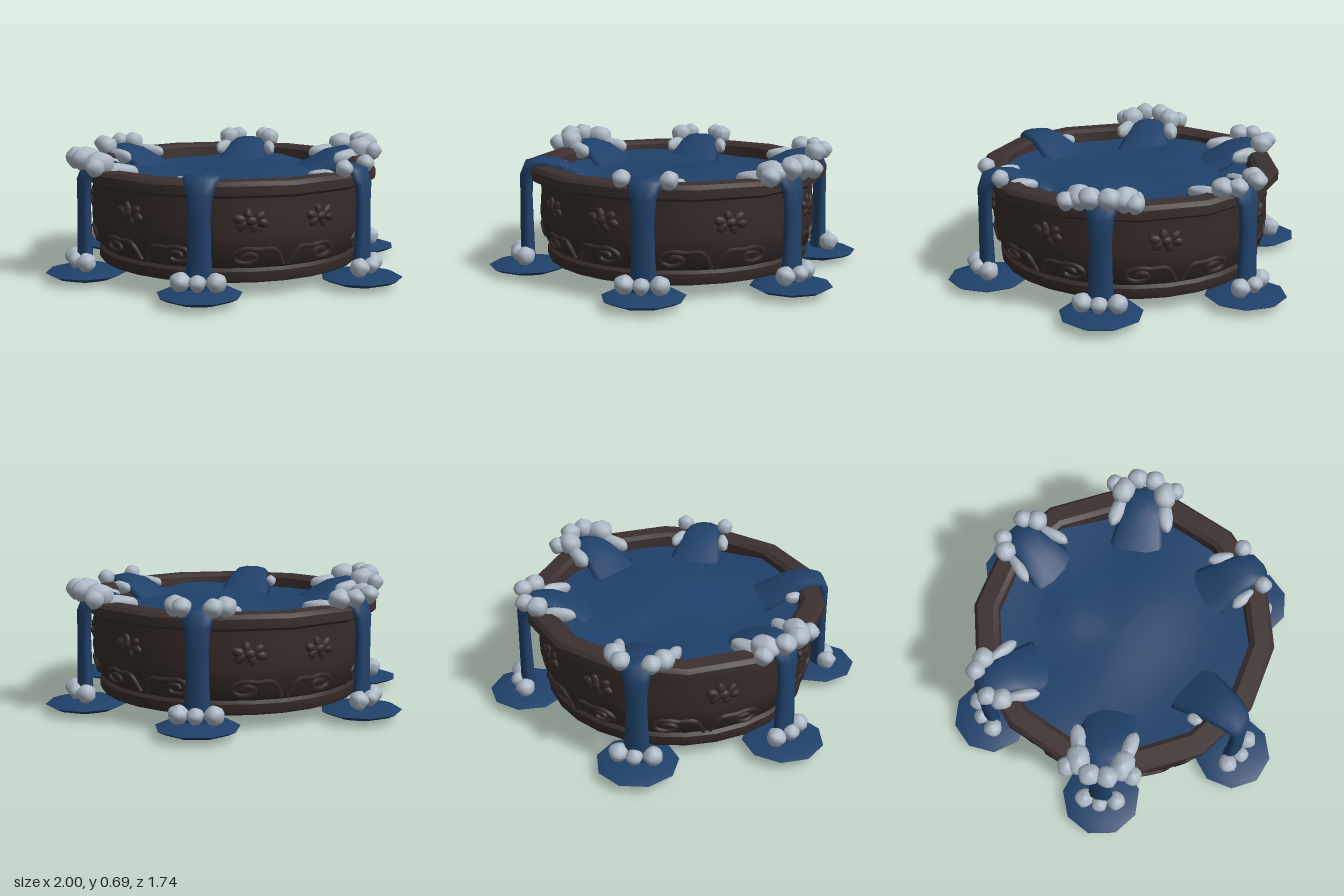
import * as THREE from 'three';
import { toCreasedNormals } from 'three/addons/utils/BufferGeometryUtils.js';

const mat = (name, color) => {
  const m = new THREE.MeshStandardMaterial({ color });
  m.name = name;
  return m;
};
const rimWood = mat('rim brown', 0x3b302f);
const wallWood = mat('wall brown', 0x362b29);
const water = mat('water blue', 0x20416a);
const foam = mat('foam white', 0xaab6c2);

function add(parent, name, geometry, material) {
  const mesh = new THREE.Mesh(geometry, material);
  mesh.name = name;
  parent.add(mesh);
  return mesh;
}

const lathe = (points, sides) => toCreasedNormals(
  new THREE.LatheGeometry(points.map(([r, y]) => new THREE.Vector2(r, y)), sides), 0.6);

// Lumpy ball shared by all foam
function lumpGeometry() {
  const g = new THREE.SphereGeometry(1, 14, 10);
  const p = g.attributes.position;
  const v = new THREE.Vector3();
  for (let i = 0; i < p.count; i++) {
    v.fromBufferAttribute(p, i);
    v.multiplyScalar(1 + 0.07 * Math.sin(4 * v.x + 1) * Math.cos(3 * v.z) + 0.05 * Math.sin(5 * v.y + 2 * v.x));
    p.setXYZ(i, v.x, v.y, v.z);
  }
  g.computeVertexNormals();
  return g;
}
const lump = lumpGeometry();

function blob(parent, name, [x, y, z, sx, sy, sz], turn = 0) {
  const b = add(parent, name, lump, foam);
  b.position.set(x, y, z);
  b.scale.set(sx, sy, sz);
  b.rotation.y = turn;
}

// Stream swept over the rim: each step is radius, height, half width, half thickness
function streamGeometry() {
  const steps = [
    [0.46, 0.49, 0.15, 0.03], [0.56, 0.535, 0.13, 0.035], [0.64, 0.575, 0.11, 0.035],
    [0.72, 0.59, 0.095, 0.03], [0.775, 0.575, 0.08, 0.035], [0.797, 0.52, 0.065, 0.035],
    [0.8, 0.42, 0.055, 0.032], [0.8, 0.25, 0.058, 0.035], [0.8, 0.12, 0.066, 0.038], [0.8, 0.04, 0.075, 0.045]];
  const n = 10, pos = [], idx = [];
  steps.forEach(([x, y, w, t], i) => {
    const a = steps[Math.max(i - 1, 0)], b = steps[Math.min(i + 1, steps.length - 1)];
    const len = Math.hypot(b[0] - a[0], b[1] - a[1]);
    const tx = (b[0] - a[0]) / len, ty = (b[1] - a[1]) / len;
    for (let j = 0; j < n; j++) {
      const q = j / n * Math.PI * 2;
      const s = t * Math.sin(q);
      pos.push(x - ty * s, y + tx * s, w * Math.cos(q));
      if (i < steps.length - 1) {
        const k = i * n + j, l = i * n + (j + 1) % n;
        idx.push(k, k + n, l, l, k + n, l + n);
      }
    }
  });
  const g = new THREE.BufferGeometry();
  g.setAttribute('position', new THREE.Float32BufferAttribute(pos, 3));
  g.setIndex(idx);
  g.computeVertexNormals();
  return g;
}

// Rippled water filling the basin
function surfaceGeometry() {
  const g = new THREE.RingGeometry(0.001, 0.665, 28, 9);
  g.rotateX(-Math.PI / 2);
  const p = g.attributes.position;
  for (let i = 0; i < p.count; i++) {
    const x = p.getX(i), z = p.getZ(i);
    const hump = 0.04 * Math.exp(-((x - 0.05) ** 2 + (z + 0.3) ** 2) / 0.02);
    p.setY(i, 0.515 + 0.014 * Math.sin(7 * x + 3 * z) + 0.012 * Math.cos(8 * z - 4 * x) + hump);
  }
  g.computeVertexNormals();
  return g;
}

// Carved scroll wrapped round the wall
function scrollGeometry(dir) {
  const pts = [];
  const place = (u, y) => {
    const r = 0.69 + (y - 0.15) * 0.28;
    pts.push(new THREE.Vector3(Math.cos(u) * r, y, Math.sin(u) * r));
  };
  place(dir * -0.24, 0.16);
  place(dir * -0.17, 0.24);
  for (let i = 0; i < 15; i++) {
    const q = 2.2 - i * 0.6, r = 0.055 * (1 - i / 18);
    place(dir * (0.02 + 2.2 * r * Math.cos(q)), 0.205 + 0.85 * r * Math.sin(q));
  }
  return new THREE.TubeGeometry(new THREE.CatmullRomCurve3(pts), 50, 0.013, 5);
}

// Carved leafy rosette on the wall
function addRosette(parent, angle) {
  const g = new THREE.Group();
  g.name = 'rosette';
  g.rotation.y = -angle;
  const ball = new THREE.SphereGeometry(1, 10, 7);
  for (let i = 0; i < 6; i++) {
    const q = i / 6 * Math.PI * 2 + 0.3;
    const leaf = add(g, 'leaf', ball, wallWood);
    leaf.position.set(0.716, 0.385 + 0.027 * Math.sin(q), 0.055 * Math.cos(q));
    leaf.scale.set(0.02, 0.024, 0.038);
    leaf.rotation.x = -q;
  }
  const heart = add(g, 'heart', ball, wallWood);
  heart.position.set(0.72, 0.385, 0);
  heart.scale.set(0.022, 0.025, 0.035);
  parent.add(g);
}

// Foam beside an outlet: radius, height, sideways, and three half sizes
const bigFoam = [[0.66, 0.57, 0.125, 0.11, 0.045, 0.042], [0.75, 0.615, 0.11, 0.08, 0.06, 0.06],
  [0.82, 0.635, 0.045, 0.055, 0.052, 0.055], [0.79, 0.605, 0.165, 0.05, 0.045, 0.045]];
const mediumFoam = [[0.63, 0.565, 0.13, 0.1, 0.04, 0.032], [0.73, 0.615, 0.12, 0.058, 0.052, 0.055],
  [0.79, 0.62, 0.075, 0.05, 0.045, 0.048]];
const smallFoam = [[0.64, 0.56, 0.125, 0.085, 0.035, 0.032], [0.75, 0.605, 0.115, 0.045, 0.045, 0.045]];
const patchFoam = [[0.61, 0.55, 0.13, 0.05, 0.03, 0.03]];

export function createModel() {
  const model = new THREE.Group();
  model.name = 'overflowing basin';

  // Basin
  add(model, 'wall', lathe([[0, 0.075], [0.685, 0.075], [0.692, 0.09], [0.692, 0.13], [0.675, 0.145],
    [0.695, 0.165], [0.722, 0.27], [0.728, 0.31], [0.72, 0.42], [0.72, 0.51]], 28), wallWood);
  add(model, 'rim', lathe([[0.69, 0.5], [0.765, 0.5], [0.785, 0.515], [0.787, 0.56], [0.768, 0.58],
    [0.685, 0.582], [0.66, 0.565], [0.65, 0.43]], 14), rimWood);
  for (let i = 0; i < 12; i++) {
    const scroll = add(model, 'scroll', scrollGeometry(i % 2 ? 1 : -1), wallWood);
    scroll.rotation.y = -(i + 0.5) * Math.PI / 6;
  }
  for (const deg of [24, 75, 105, 156, 204, 255, 285, 336]) addRosette(model, deg * Math.PI / 180);

  // Water
  add(model, 'waterSurface', surfaceGeometry(), water);
  const stream = streamGeometry();
  const pool = lathe([[0, 0], [0.1, 0.008], [0.17, 0.028], [0.208, 0.047], [0.17, 0.06], [0.09, 0.07], [0, 0.073]], 9);

  // Outlets: angle, foam list, sides that carry foam
  const outlets = [[0, bigFoam, [1, -1]], [56.5, smallFoam, [1, -1]], [123.5, patchFoam, [1]],
    [180, bigFoam, [1, -1]], [236.5, mediumFoam, [1, -1]], [303.5, mediumFoam, [1, -1]]];
  for (const [deg, list, sides] of outlets) {
    const outlet = new THREE.Group();
    outlet.name = 'outlet';
    outlet.rotation.y = -deg * Math.PI / 180;
    add(outlet, 'stream', stream, water);
    add(outlet, 'pool', pool, water).position.x = 0.797;
    for (const s of sides) {
      for (const [r, y, t, a, b, c] of list) blob(outlet, 'rimFoam', [r, y, s * t, a, b, c], s * 0.25);
    }
    // Splash at the foot of the stream
    for (const [r, t, size] of [[0.85, 0, 0.042], [0.83, 0.085, 0.05], [0.82, -0.085, 0.05]]) {
      blob(outlet, 'splashFoam', [r, 0.112, t, size, size * 0.95, size], t * 9);
    }
    model.add(outlet);
  }
  return model;
}
